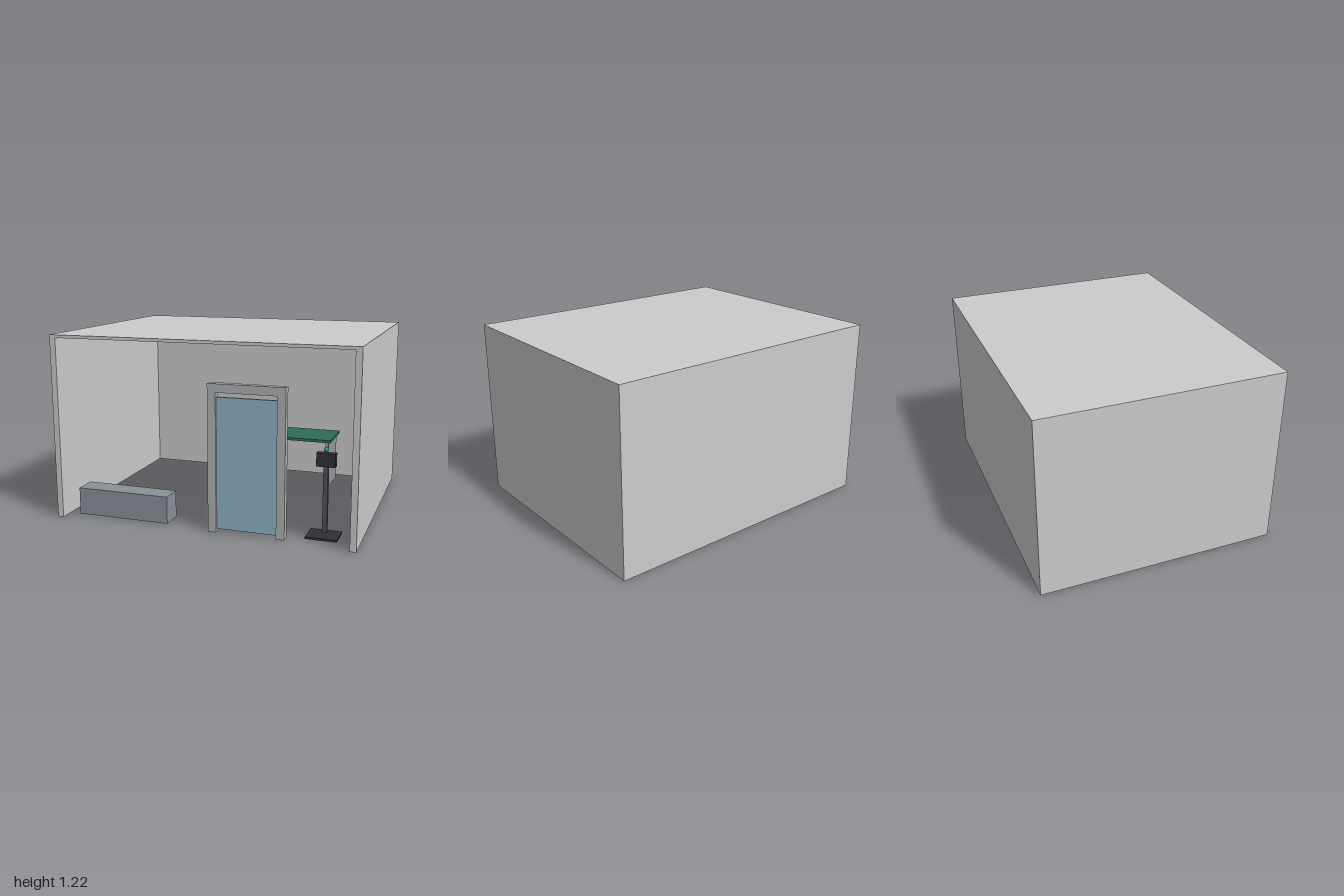
import * as THREE from 'three';

const material = (color) => new THREE.MeshStandardMaterial({ color });
const plain = material(0xcccccc);
const frameGrey = material(0xb0b2b4);
const glassBlue = material(0x8fb3c6);
const benchGrey = material(0x8a929a);
const green = material(0x2f6b58);
const legGrey = material(0x94989c);
const charcoal = material(0x2f3136);
const poleGrey = material(0x50545a);
const lampGreen = material(0x2f9e62);

// Box given by its lower and upper limits on each axis
function box(parent, name, mat, [x0, x1], [y0, y1], [z0, z1]) {
  const mesh = new THREE.Mesh(new THREE.BoxGeometry(x1 - x0, y1 - y0, z1 - z0), mat);
  mesh.position.set((x0 + x1) / 2, (y0 + y1) / 2, (z0 + z1) / 2);
  mesh.name = name;
  parent.add(mesh);
  return mesh;
}

function section(parent, name) {
  const group = new THREE.Group();
  group.name = name;
  parent.add(group);
  return group;
}

export function createModel() {
  const model = new THREE.Group();
  model.name = 'entranceRoom';

  // Open-fronted shell without a floor
  const shell = section(model, 'shell');
  box(shell, 'rightWall', plain, [-1, -0.96], [0, 1.195], [-0.8, 0.8]);
  box(shell, 'leftWall', plain, [0.96, 1], [0, 1.195], [-0.8, 0.8]);
  box(shell, 'backWall', plain, [-0.96, 0.96], [0, 1.195], [-0.8, -0.76]);
  box(shell, 'ceiling', plain, [-1, 1], [1.195, 1.215], [-0.8, 0.8]);

  // Three flat ceiling lights
  for (const x of [-0.52, 0, 0.52]) {
    box(shell, 'ceilingLight', plain, [x - 0.22, x + 0.22], [1.183, 1.195], [-0.08, 0.08]);
  }

  // Free-standing door with a glass leaf
  const door = section(model, 'door');
  box(door, 'rightJamb', frameGrey, [0.05, 0.104], [0, 0.895], [0.7, 0.75]);
  box(door, 'leftJamb', frameGrey, [0.494, 0.548], [0, 0.895], [0.7, 0.75]);
  box(door, 'lintel', frameGrey, [0.05, 0.548], [0.895, 0.95], [0.7, 0.75]);
  box(door, 'glassLeaf', glassBlue, [0.104, 0.494], [0.02, 0.865], [0.716, 0.734]);

  // Solid bench
  box(model, 'bench', benchGrey, [-0.88, -0.245], [0.005, 0.185], [0.565, 0.715]);

  // Table on two panel legs
  const table = section(model, 'table');
  box(table, 'tableTop', green, [-0.285, 0.595], [0.352, 0.372], [-0.7, -0.36]);
  for (const x of [-0.25, 0.565]) {
    box(table, 'panelLeg', legGrey, [x - 0.01, x + 0.01], [0, 0.352], [-0.68, -0.38]);
  }

  // Reader stand with indicator lamp
  const stand = section(model, 'readerStand');
  box(stand, 'standBase', charcoal, [0.66, 0.86], [0, 0.014], [0.52, 0.68]);
  box(stand, 'standPole', poleGrey, [0.744, 0.774], [0.014, 0.44], [0.545, 0.575]);
  box(stand, 'readerHead', charcoal, [0.7, 0.82], [0.44, 0.525], [0.535, 0.583]);
  const lamp = new THREE.Mesh(new THREE.SphereGeometry(0.015, 20, 14), lampGreen);
  lamp.name = 'indicatorLamp';
  lamp.position.set(0.758, 0.545, 0.559);
  stand.add(lamp);

  return model;
}
